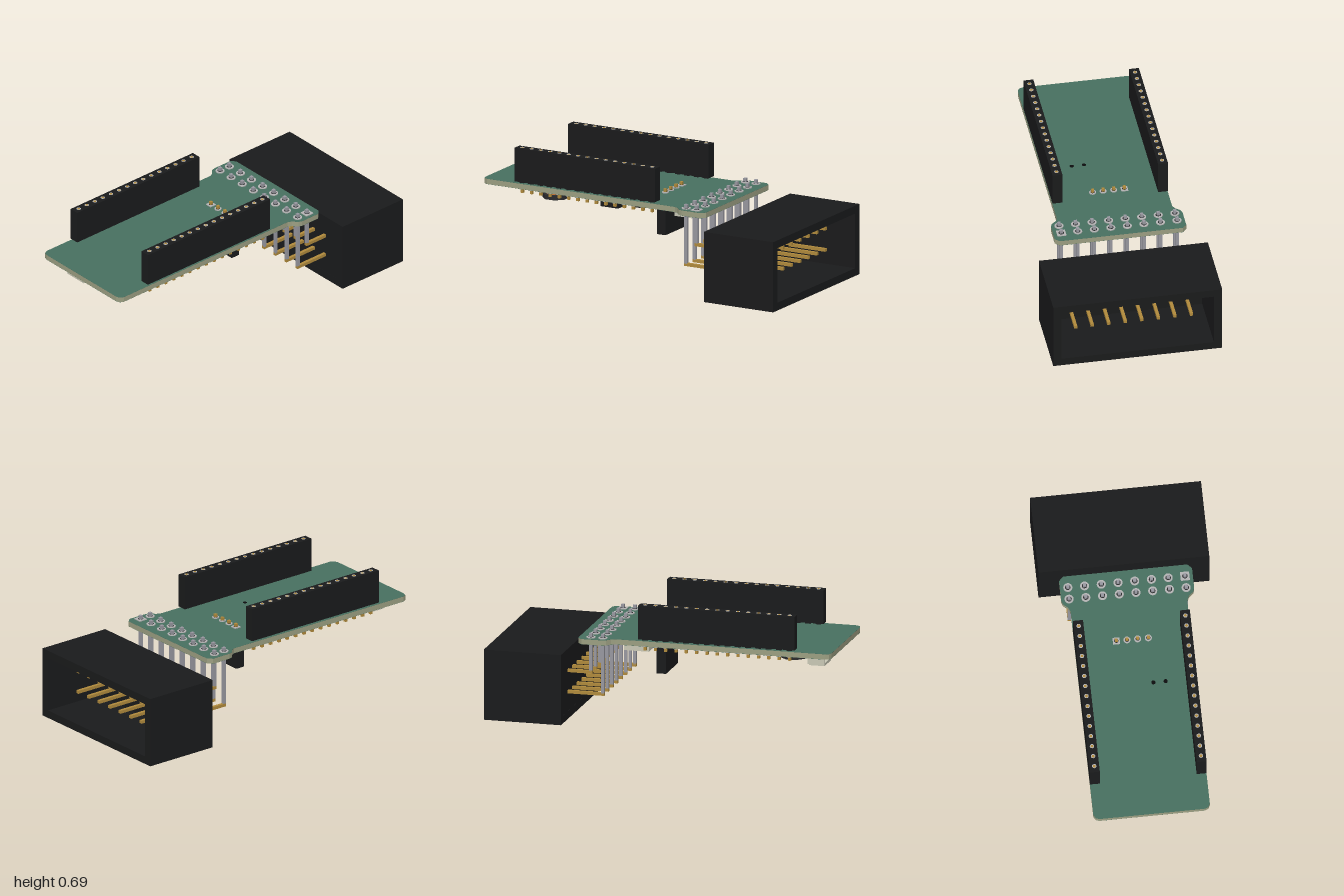
import * as THREE from 'three';

const mat = (color, extra = {}) => new THREE.MeshStandardMaterial({ color, ...extra });
const M = {
  green: mat(0x487060), edge: mat(0x9c9f82), black: mat(0x1a1b1c), dark: mat(0x2b2b2d),
  gold: mat(0xb08a3c), steel: mat(0x9898a0), cream: mat(0xc9c8b6), copper: mat(0xb0642c),
  brown: mat(0x8a5a3c), hole: mat(0x0c0c0d), pad: mat(0xb5b5b5),
};

const TOP = 0.487, BOTTOM = 0.455;
const PITCH = 0.0956;
const columns = Array.from({ length: 8 }, (_, i) => (i - 3.5) * PITCH);

function add(parent, name, geometry, material, x = 0, y = 0, z = 0) {
  const mesh = new THREE.Mesh(geometry, material);
  mesh.name = name;
  mesh.position.set(x, y, z);
  parent.add(mesh);
  return mesh;
}

// Box given by its minimum and maximum corners
function box(parent, name, material, [x0, x1], [y0, y1], [z0, z1]) {
  return add(parent, name, new THREE.BoxGeometry(x1 - x0, y1 - y0, z1 - z0), material,
    (x0 + x1) / 2, (y0 + y1) / 2, (z0 + z1) / 2);
}

function group(parent, name) {
  const g = new THREE.Group();
  g.name = name;
  parent.add(g);
  return g;
}

// Board outline, with shape y used as z
function slab(parent, name, material, top, depth) {
  const half = [[0.30, 1], [0.322, 0.992], [0.333, 0.97], [0.333, -0.265], [0.345, -0.29],
    [0.372, -0.312], [0.38, -0.335], [0.38, -0.455], [0.355, -0.48]];
  const mirrored = half.map(([x, z]) => [-x, z]).reverse();
  const shape = new THREE.Shape([...half, ...mirrored].map(p => new THREE.Vector2(...p)));
  const geometry = new THREE.ExtrudeGeometry(shape, { depth, bevelEnabled: false });
  geometry.rotateX(Math.PI / 2);
  add(parent, name, geometry, material, 0, top, 0);
}

// Flat solder ring around a pin
function ring(parent, x, y, z, r, square = false) {
  const geometry = square ? new THREE.BoxGeometry(2 * r, 0.006, 2 * r)
    : new THREE.CylinderGeometry(r, r, 0.006, 20);
  add(parent, 'solderPad', geometry, M.pad, x, y, z);
  add(parent, 'padHole', new THREE.CylinderGeometry(r * 0.6, r * 0.6, 0.007, 16), M.dark, x, y, z);
}

function buildBoard(root) {
  const g = group(root, 'circuitBoard');
  slab(g, 'boardCore', M.edge, TOP - 0.001, TOP - BOTTOM - 0.002);
  slab(g, 'topMask', M.green, TOP, 0.001);
  slab(g, 'bottomMask', M.green, BOTTOM + 0.001, 0.001);
  for (const x of [0.09, 0.16])
    add(g, 'boardHole', new THREE.CylinderGeometry(0.012, 0.012, 0.034, 16), M.hole, x, 0.471, 0.21);
}

// Long female header on one edge of the board
function buildSocket(root, side) {
  const g = group(root, side > 0 ? 'leftSocket' : 'rightSocket');
  const x = side * 0.305;
  box(g, 'socketBody', M.black, [x - 0.0285, x + 0.0285], [0.496, 0.693], [-0.133, 0.79]);
  for (let i = 0; i < 15; i++) {
    const z = -0.099 + i * 0.0609;
    add(g, 'contactRing', new THREE.CylinderGeometry(0.013, 0.013, 0.004, 12), M.pad, x, 0.692, z);
    add(g, 'contact', new THREE.CylinderGeometry(0.008, 0.008, 0.005, 12), M.gold, x, 0.692, z);
    box(g, 'socketFoot', M.black, [x - 0.012, x + 0.012], [TOP, 0.496], [z - 0.016, z + 0.016]);
    box(g, 'socketPin', M.gold, [x - 0.008, x + 0.008], [0.428, 0.497], [z - 0.008, z + 0.008]);
    ring(g, x, BOTTOM - 0.002, z, 0.02);
  }
}

// Right-angle shrouded connector at the back
function buildShroud(root) {
  const g = group(root, 'shroudedConnector');
  const rect = (P, w, y0, y1) => {
    const p = new P();
    p.moveTo(-w, y0).lineTo(w, y0).lineTo(w, y1).lineTo(-w, y1).closePath();
    return p;
  };
  const frame = rect(THREE.Shape, 0.488, 0, 0.413);
  frame.holes.push(rect(THREE.Path, 0.44, 0.046, 0.367));
  const geometry = new THREE.ExtrudeGeometry(frame, { depth: 0.455, bevelEnabled: false });
  add(g, 'shroudWall', geometry, M.black, 0, 0, -1);
  box(g, 'shroudFloor', M.black, [-0.445, 0.445], [0.04, 0.37], [-0.63, -0.546]);
  const w = 0.009;
  for (const [y, z] of [[0.285, -0.41], [0.16, -0.34]])
    columns.forEach((x, i) => {
      box(g, 'contactPin', M.gold, [x - w, x + w], [y - w, y + w], [-0.87, z + w]);
      box(g, 'pinLeg', M.steel, [x - w, x + w], [y + w * 0.5, 0.513], [z - w, z + w]);
      const square = i === 7 && z < -0.4;
      for (const py of [TOP + 0.002, BOTTOM - 0.002]) ring(g, x, py, z, 0.026, square);
    });
}

// Four-way socket hanging under the board
function buildLowerSocket(root) {
  const g = group(root, 'lowerSocket');
  box(g, 'lowerSocketBody', M.black, [-0.127, 0.125], [0.247, 0.444], [-0.082, -0.026]);
  [-0.094, -0.033, 0.028, 0.089].forEach((x, i) => {
    box(g, 'lowerSocketPin', M.gold, [x - 0.008, x + 0.008], [0.44, 0.51], [-0.068, -0.052]);
    ring(g, x, TOP + 0.002, -0.06, 0.02, i === 0);
    box(g, 'lowerSocketHole', M.hole, [x - 0.01, x + 0.01], [0.246, 0.25], [-0.064, -0.044]);
  });
}

// Wire-to-board connectors on the underside
function buildPlugs(root) {
  const g = group(root, 'frontPlug');
  box(g, 'plugBack', M.cream, [-0.2, -0.06], [0.385, BOTTOM], [0.83, 0.85]);
  box(g, 'plugTop', M.cream, [-0.2, -0.06], [0.436, 0.45], [0.84, 0.93]);
  box(g, 'plugBottom', M.cream, [-0.2, -0.06], [0.38, 0.395], [0.84, 0.93]);
  box(g, 'plugCore', M.cream, [-0.18, -0.08], [0.4, 0.43], [0.84, 0.915]);
  for (const x of [-0.194, -0.066])
    box(g, 'plugSide', M.cream, [x - 0.007, x + 0.007], [0.382, 0.45], [0.84, 0.93]);
  for (let i = 0; i < 4; i++)
    box(g, 'plugContact', M.pad, [-0.168 + i * 0.023, -0.161 + i * 0.023], [0.41, 0.42], [0.9, 0.922]);
  const b = group(root, 'rearPlug');
  box(b, 'rearPlugBody', M.cream, [-0.11, 0.11], [0.365, BOTTOM], [-0.278, -0.132]);
}

// Wound inductor: ferrite flanges with a copper waist
function buildInductor(root) {
  const g = group(root, 'inductor');
  const disc = new THREE.CylinderGeometry(0.077, 0.077, 0.026, 8);
  disc.rotateY(Math.PI / 8);
  add(g, 'lowerFlange', disc, M.dark, 0.053, 0.366, 0.68);
  add(g, 'upperFlange', disc, M.dark, 0.053, 0.442, 0.68);
  const profile = [[0.055, 0.378], [0.04, 0.39], [0.036, 0.404], [0.04, 0.418], [0.055, 0.43]]
    .map(p => new THREE.Vector2(...p));
  add(g, 'copperWinding', new THREE.LatheGeometry(profile, 24), M.copper, 0.053, 0, 0.68);
}

// Chip body with metal legs along two sides
function chip(g, x, z, w, d, y, legs) {
  box(g, 'chip', M.black, [x - w / 2, x + w / 2], [y, 0.45], [z - d / 2, z + d / 2]);
  for (let i = 0; i < legs; i++) {
    const lz = z + ((i + 0.5) / legs - 0.5) * d;
    box(g, 'chipLegs', M.pad, [x - w / 2 - 0.016, x + w / 2 + 0.016], [0.442, BOTTOM],
      [lz - 0.005, lz + 0.005]);
  }
}

function buildSmallParts(root) {
  const g = group(root, 'undersideParts');
  chip(g, -0.01, 0.53, 0.1, 0.085, 0.406, 4);
  chip(g, 0.205, 0.22, 0.07, 0.115, 0.397, 4);
  chip(g, 0.04, 0.21, 0.13, 0.12, 0.41, 6);
  chip(g, -0.04, 0.365, 0.08, 0.05, 0.407, 3);
  chip(g, 0.14, 0.075, 0.08, 0.055, 0.402, 3);
  chip(g, -0.12, 0.08, 0.08, 0.06, 0.41, 3);
  // Capacitors and resistors with silver ends: x, z, turned, colour
  const chips = [
    [0.22, 0.7, 1, 'brown'], [0.19, 0.6, 0, 'brown'], [-0.17, 0.7, 1, 'brown'], [-0.18, 0.6, 0, 'brown'],
    [0.13, 0.52, 1, 'brown'], [0.2, 0.5, 0, 'black'], [-0.14, 0.5, 1, 'black'], [-0.2, 0.43, 0, 'black'],
    [0.12, 0.4, 1, 'brown'], [0.2, 0.38, 0, 'black'], [-0.15, 0.33, 1, 'brown'], [-0.08, 0.26, 0, 'black'],
    [-0.2, 0.22, 1, 'black'], [-0.1, 0.17, 1, 'brown'], [0.04, 0.09, 0, 'brown'], [-0.21, 0.1, 0, 'black'],
    [0.22, 0.03, 1, 'black'], [0.04, 0.44, 1, 'black'], [0.1, 0.32, 0, 'brown'], [-0.1, 0.6, 1, 'black'],
    [0.22, 0.8, 0, 'black'], [0.08, 0.83, 0, 'black'], [-0.21, 0.0, 1, 'brown'], [-0.1, 0.42, 0, 'brown'],
  ];
  for (const [x, z, turned, color] of chips) {
    const c = group(g, 'chipComponent');
    box(c, 'componentBody', M[color], [-0.014, 0.014], [0.432, BOTTOM], [-0.014, 0.014]);
    for (const s of [-1, 1])
      box(c, 'componentEnd', M.pad, [s * 0.02 - 0.007, s * 0.02 + 0.007], [0.431, BOTTOM], [-0.015, 0.015]);
    c.position.set(x, 0, z);
    c.rotation.y = turned * Math.PI / 2;
  }
}

export function createModel() {
  const root = new THREE.Group();
  root.name = 'connectorBoard';
  buildBoard(root);
  for (const side of [-1, 1]) buildSocket(root, side);
  buildShroud(root);
  buildLowerSocket(root);
  buildPlugs(root);
  buildInductor(root);
  buildSmallParts(root);
  return root;
}
